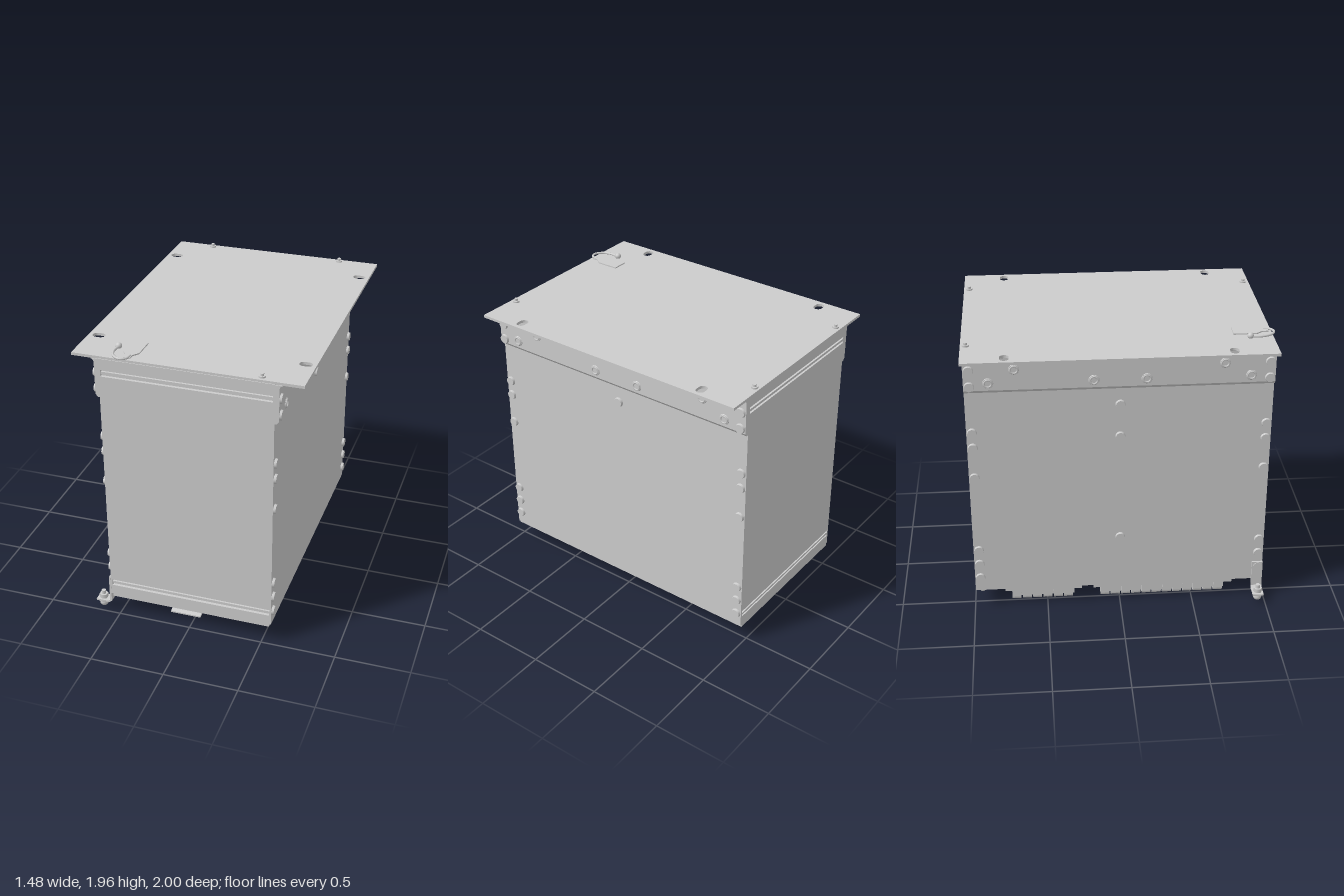
import * as THREE from 'three';

const mat = new THREE.MeshStandardMaterial({ color: 0xcccccc, side: THREE.DoubleSide });

export function createModel() {
  const root = new THREE.Group();
  const add = (name, geo, x = 0, y = 0, z = 0, parent = root) => {
    const m = new THREE.Mesh(geo, mat);
    m.name = name;
    m.position.set(x, y, z);
    parent.add(m);
    return m;
  };
  // box given by its limits on each axis
  const box = (name, x0, x1, y0, y1, z0, z1) =>
    add(name, new THREE.BoxGeometry(x1 - x0, y1 - y0, z1 - z0), (x0 + x1) / 2, (y0 + y1) / 2, (z0 + z1) / 2);
  const shapeOf = pts => new THREE.Shape(pts.map(p => new THREE.Vector2(...p)));
  const extrude = (shape, depth) => new THREE.ExtrudeGeometry(shape, { depth, bevelEnabled: false, curveSegments: 10 });
  const cyl = (r, h, n = 20, r2 = r) => new THREE.CylinderGeometry(r, r2, h, n);

  // case: core, side sheets, and end panels split by two ribbed grooves
  box('caseCore', -0.55, 0.55, 0.15, 1.915, -0.97, 0.965);
  for (const s of [-1, 1]) {
    const side = box('sidePanel', 0.55, 0.562, 0.15, 1.915, -0.99, 0.985);
    side.position.x *= s;
    const z0 = s > 0 ? 0.965 : -0.99, z1 = s > 0 ? 0.985 : -0.97;
    for (const [a, b] of [[0.13, 0.22], [0.265, 1.795], [1.84, 1.915]]) box('endPanel', -0.55, 0.55, a, b, z0, z1);
    for (const y of [0.242, 1.818]) {
      box('grooveRib', -0.55, 0.55, y - 0.008, y + 0.008, z0, s > 0 ? z1 - 0.006 : z1);
    }
  }
  box('bottomPlate', -0.55, 0.55, 0.13, 0.15, -0.98, 0.975);

  // top plate with four mounting slots
  const plate = shapeOf([[-0.74, -0.98], [0.74, -0.98], [0.74, 1], [-0.74, 1]]);
  for (const x of [-0.673, 0.673]) for (const v of [-0.7, 0.725]) {
    const h = new THREE.Path();
    h.absarc(x + 0.013, v, 0.029, -Math.PI / 2, Math.PI / 2, false);
    h.absarc(x - 0.013, v, 0.029, Math.PI / 2, Math.PI * 1.5, false);
    plate.holes.push(h);
  }
  add('topPlate', extrude(plate, 0.018), 0, 1.912, 0).rotation.x = -Math.PI / 2;

  // angle brackets below the plate, with a fillet at the top
  const angle = [[0.56, 1.65], [0.575, 1.65], [0.59, 1.67], [0.59, 1.89], [0.596, 1.904], [0.61, 1.912], [0.56, 1.912]];
  for (const s of [-1, 1]) {
    const pts = angle.map(([x, y]) => [s * x, y]);
    add('sideAngle', extrude(shapeOf(pts), 1.975), 0, 0, -0.99);
  }

  // rivets and washered screws on the sides
  const stud = (name, s, x, y, z, r, h) => {
    add(name, cyl(r * 0.88, h, 20, r), s * (x + h / 2), y, z).rotation.z = -s * Math.PI / 2;
  };
  for (const s of [-1, 1]) {
    for (const z of [-0.953, 0.95]) {
      for (const y of [1.36, 1.25, 1.03, 0.465, 0.355, 0.245]) stud('rivet', s, 0.56, y, z, 0.033, 0.018);
      for (const y of [1.81, 1.70]) stud('angleRivet', s, 0.588, y, z, 0.034, 0.016);
    }
    for (const y of s > 0 ? [1.53] : [1.53, 1.3, 0.53]) stud('middleRivet', s, 0.56, y, 0, 0.033, 0.018);
    for (const [z, y] of [[0.83, 1.72], [0.66, 1.81], [0.165, 1.72], [-0.17, 1.72], [-0.67, 1.81], [-0.835, 1.72]]) {
      stud('screwWasher', s, 0.588, y, z, 0.037, 0.006);
      const ring = add('screwHead', new THREE.TorusGeometry(0.024, 0.006, 6, 20), s * 0.595, y, z);
      ring.rotation.y = Math.PI / 2;
    }
  }

  // plate screws on top
  for (const [x, z] of [[-0.48, -0.965], [0.47, -0.965], [0.47, 0.94]]) {
    add('plateWasher', cyl(0.022, 0.01), x, 1.935, z);
    add('plateScrew', cyl(0.012, 0.018, 12), x, 1.946, z);
  }

  // tag tied to a post by a cord
  const tag = shapeOf([[-0.435, -0.73], [-0.33, -0.73], [-0.33, -0.88], [-0.36, -0.92], [-0.36, -0.96],
    [-0.405, -0.96], [-0.405, -0.92], [-0.435, -0.88]]);
  add('tag', extrude(tag, 0.008), 0, 1.931, 0).rotation.x = -Math.PI / 2;
  add('cordPost', cyl(0.012, 0.022, 12), -0.485, 1.941, 0.83);
  add('cordKnob', new THREE.SphereGeometry(0.021, 14, 10), -0.485, 1.944, 0.83);
  const cord = new THREE.CatmullRomCurve3([[-0.485, 0.83], [-0.49, 0.9], [-0.465, 0.965], [-0.42, 0.992], [-0.38, 0.975], [-0.37, 0.93]]
    .map(([x, z]) => new THREE.Vector3(x, 1.94, z)));
  add('cord', new THREE.TubeGeometry(cord, 28, 0.008, 8));

  // slotted connectors under the case: frame rails and an inner comb
  const connector = (x, z0, z1, pins) => {
    for (const s of [-1, 1]) {
      box('connectorRail', x + s * 0.026 - 0.007, x + s * 0.026 + 0.007, 0.112, 0.13, z0, z1);
      const z = s > 0 ? z1 : z0;
      box('connectorEnd', x - 0.033, x + 0.033, 0.112, 0.13, z - 0.012, z + 0.012);
    }
    const step = (z1 - z0) / pins;
    for (let i = 0; i < pins; i++) {
      box('contact', x - 0.02, x + 0.02, 0.118, 0.13, z0 + step * (i + 0.2), z0 + step * (i + 0.75));
    }
  };
  connector(0.43, 0.05, 0.77, 24);
  connector(0.43, -0.77, -0.11, 24);
  connector(0.17, -0.78, -0.05, 24);
  connector(-0.06, 0.3, 0.72, 10);
  connector(-0.06, -0.32, 0.1, 10);

  // guide pins
  for (const x of [0.15, 0.42]) {
    add('guidePinStem', cyl(0.018, 0.08, 14), x, 0.09, 0);
    add('guidePinHead', cyl(0.028, 0.022, 16, 0.025), x, 0.05, 0);
  }

  // terminal strips: a backing block with a row of rounded teeth
  const tooth = new THREE.Shape();
  tooth.moveTo(-0.5, 0.08);
  tooth.lineTo(-0.5, 0.03);
  tooth.quadraticCurveTo(-0.5, 0.002, -0.472, 0.002);
  tooth.lineTo(-0.295, 0.002);
  tooth.quadraticCurveTo(-0.267, 0.002, -0.267, 0.03);
  tooth.lineTo(-0.267, 0.08);
  const strip = (z0, n, b0, b1) => {
    box('terminalBase', -0.5, -0.27, 0.075, 0.13, b0, b1);
    box('terminalCore', -0.49, -0.34, 0.03, 0.08, z0, z0 + n * 0.072);
    for (let i = 0; i < n; i++) add('terminalTooth', extrude(tooth, 0.062), 0, 0, z0 + i * 0.072);
    for (const z of [b0 + 0.015, b1 - 0.015]) add('terminalScrew', cyl(0.022, 0.02, 14), -0.385, 0.066, z);
  };
  strip(-0.13, 12, -0.18, 0.79);
  strip(-0.745, 6, -0.79, -0.26);

  // small three-way connector
  box('smallConnectorBase', -0.18, -0.04, 0.1, 0.13, -0.76, -0.49);
  for (let i = 0; i < 3; i++) box('smallConnectorCell', -0.17, -0.05, 0.07, 0.1, -0.73 + i * 0.08, -0.66 + i * 0.08);

  // sprung clips hanging at both ends
  const clip = [[0, 0.13], [0.012, 0.13], [0.024, 0.105], [0.06, 0.05], [0.085, 0.045], [0.085, 0.036], [0.05, 0.04], [0.01, 0.1]];
  for (const z of [0.835, -0.915]) {
    const g = extrude(shapeOf(clip.map(([a, b]) => [-a, b])), 0.21);
    g.rotateY(Math.PI / 2);
    add('springClip', g, -0.16, 0, z);
    box('clipFoot', -0.16, 0.05, 0.118, 0.13, z - 0.02, z + 0.03);
  }

  // screws along the ends of the bottom plate
  for (const z of [-0.945, 0.945]) for (const x of [-0.52, -0.21, -0.1, 0.015, 0.225, 0.34, 0.5]) {
    add('bottomScrew', cyl(0.022, 0.022, 14, 0.015), x, 0.12, z);
  }

  // earthing lug: bent strip with a bolt
  const lug = shapeOf([[-0.562, 0.28], [-0.575, 0.28], [-0.575, 0.09], [-0.59, 0.078], [-0.675, 0.078],
    [-0.675, 0.066], [-0.585, 0.066], [-0.562, 0.085]]);
  add('earthBracket', extrude(lug, 0.075), 0, 0, 0.912);
  add('earthBolt', cyl(0.015, 0.12, 14), -0.635, 0.075, 0.95);
  add('earthNut', cyl(0.03, 0.03, 6), -0.635, 0.094, 0.95);
  add('earthWasher', cyl(0.034, 0.01), -0.635, 0.06, 0.95);
  add('earthCap', new THREE.SphereGeometry(0.03, 16, 10), -0.635, 0.042, 0.95);

  return root;
}
